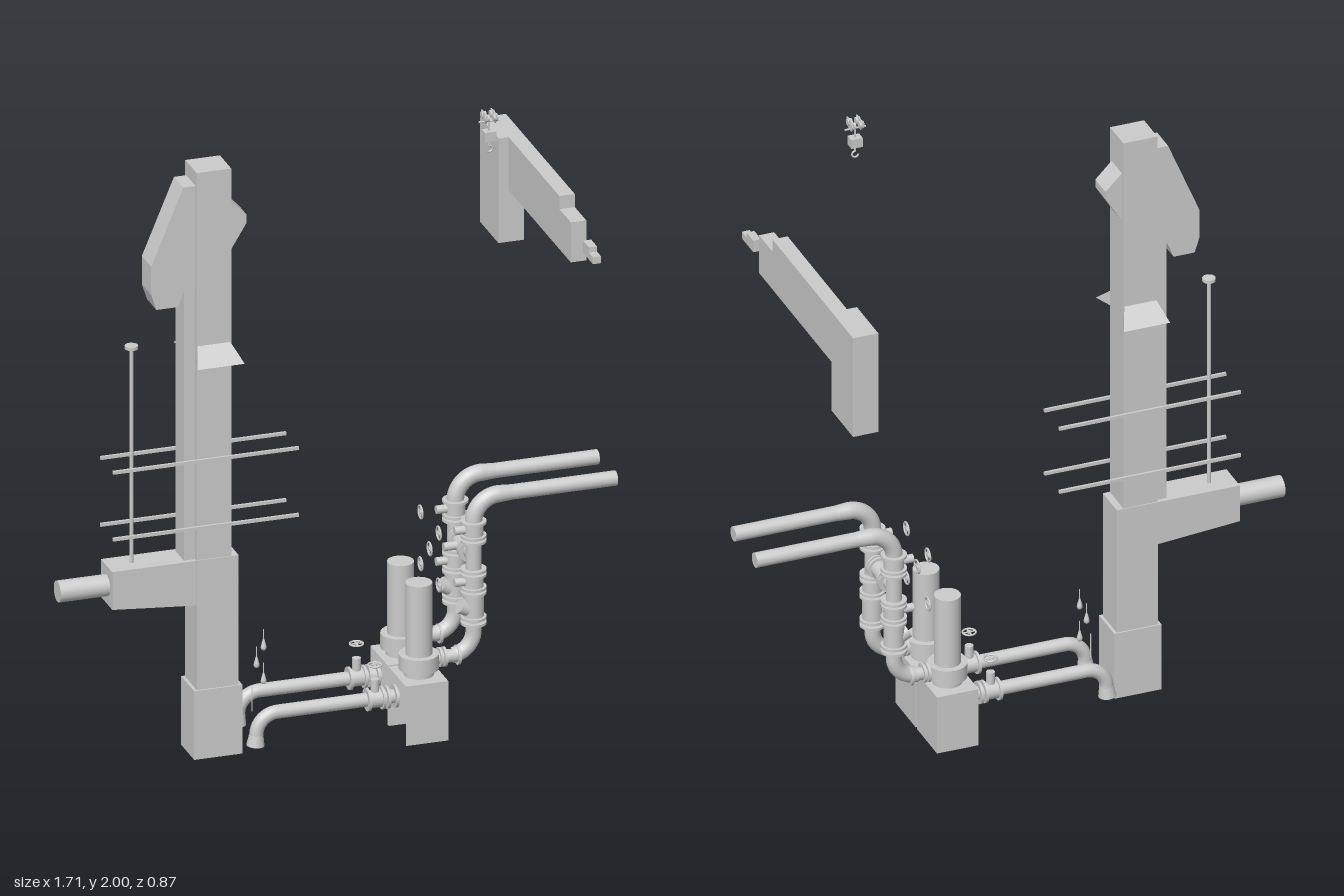
import * as THREE from 'three';

const CZ = 0.068; // symmetry plane of the tower and the two pump lines

export function createModel() {
  const root = new THREE.Group();
  const mat = new THREE.MeshStandardMaterial({ color: 0xcccccc });
  const flat = new THREE.MeshStandardMaterial({ color: 0xcccccc, flatShading: true, side: THREE.DoubleSide });

  const add = (name, geo, material = mat, parent = root) => {
    const m = new THREE.Mesh(geo, material);
    m.name = name;
    parent.add(m);
    return m;
  };
  const group = (name, parent = root) => {
    const g = new THREE.Group();
    g.name = name;
    parent.add(g);
    return g;
  };
  // Box given by its limits; open lists dropped faces (0 +x, 1 -x, 2 +y, 3 -y, 4 +z, 5 -z)
  const box = (name, [x0, x1], [y0, y1], [z0, z1], parent = root, open = []) => {
    const g = new THREE.BoxGeometry(x1 - x0, y1 - y0, z1 - z0);
    g.translate((x0 + x1) / 2, (y0 + y1) / 2, (z0 + z1) / 2);
    g.setIndex(Array.from(g.index.array).filter((_, i) => !open.includes(Math.floor(i / 6))));
    return add(name, g, flat, parent);
  };
  // Profile in x and y, extruded along z
  const slab = (name, pts, z0, z1, parent = root) => {
    const shape = new THREE.Shape(pts.map(p => new THREE.Vector2(...p)));
    const g = new THREE.ExtrudeGeometry(shape, { depth: z1 - z0, bevelEnabled: false });
    return add(name, g.translate(0, 0, z0), flat, parent);
  };
  // Profile in z and y, extruded along x
  const slabX = (name, pts, x0, x1, parent = root) => {
    const m = slab(name, pts.map(([z, y]) => [-z, y]), 0, x1 - x0, parent);
    m.geometry.rotateY(Math.PI / 2).translate(x0, 0, 0);
    return m;
  };
  // Cylinder or cone frustum between two points
  const rod = (name, a, b, r, parent = root, r2 = r) => {
    const A = new THREE.Vector3(...a), B = new THREE.Vector3(...b), d = B.clone().sub(A);
    const m = add(name, new THREE.CylinderGeometry(r2, r, d.length(), 24), mat, parent);
    m.position.copy(A).add(B).multiplyScalar(0.5);
    m.quaternion.setFromUnitVectors(new THREE.Vector3(0, 1, 0), d.normalize());
    return m;
  };
  // Quarter bend in the x-y plane
  const bend = (name, a, corner, b, r, parent) => {
    const v = p => new THREE.Vector3(...p);
    const k = 0.552, A = v(a), C = v(corner), B = v(b);
    const curve = new THREE.CubicBezierCurve3(A, A.clone().lerp(C, k), B.clone().lerp(C, k), B);
    return add(name, new THREE.TubeGeometry(curve, 14, r, 20), mat, parent);
  };
  // Thin handwheel: rim, hub and two spokes, facing along +y before turning
  const handwheel = (p, alongX, parent) => {
    const g = group('handwheel', parent);
    add('rim', new THREE.TorusGeometry(0.02, 0.003, 8, 24).rotateX(Math.PI / 2), mat, g);
    rod('spoke', [-0.02, 0, 0], [0.02, 0, 0], 0.0025, g);
    rod('spoke', [0, 0, -0.02], [0, 0, 0.02], 0.0025, g);
    rod('hub', [0, -0.003, 0], [0, 0.003, 0], 0.006, g);
    g.position.set(...p);
    if (alongX) g.rotation.z = Math.PI / 2;
  };

  // Tower
  const tower = group('tower');
  box('towerBase', [-0.45, -0.3], [0, 0.22], [CZ - 0.06, CZ + 0.06], tower, [3]);
  box('towerLower', [-0.44, -0.31], [0.22, 0.635], [CZ - 0.055, CZ + 0.055], tower);
  box('towerShaft', [-0.44, -0.332], [0.635, 1.875], [CZ - 0.052, CZ + 0.052], tower);
  box('rearDuct', [-0.475, -0.44], [0.63, 1.6], [CZ - 0.038, CZ + 0.038], tower);
  slab('dischargeHead', [[-0.44, 1.83], [-0.478, 1.83], [-0.578, 1.59], [-0.578, 1.5], [-0.562, 1.45],
    [-0.495, 1.45], [-0.475, 1.5], [-0.44, 1.5]], CZ - 0.043, CZ + 0.043, tower);
  slab('frontNose', [[-0.335, 1.77], [-0.335, 1.6], [-0.28, 1.69], [-0.28, 1.715]], CZ - 0.04, CZ + 0.04, tower);

  // Sloping skirts on both sides of the shaft
  for (const s of [-1, 1]) {
    const z0 = CZ + s * 0.052, z1 = CZ + s * 0.11, skirt = new THREE.BufferGeometry();
    skirt.setAttribute('position', new THREE.Float32BufferAttribute([
      -0.437, 1.32, z0, -0.335, 1.32, z0, -0.44, 1.27, z0, -0.332, 1.27, z0, -0.457, 1.27, z1, -0.31, 1.27, z1], 3));
    const f = [0, 4, 5, 0, 5, 1, 0, 2, 4, 1, 5, 3, 2, 3, 5, 2, 5, 4];
    skirt.setIndex(s > 0 ? f : f.reverse());
    skirt.computeVertexNormals();
    add('skirt', skirt, flat, tower);
  }

  // Inlet arm with pipe and control rod
  const arm = group('inletArm');
  slab('trough', [[-0.702, 0.633], [-0.702, 0.512], [-0.44, 0.49], [-0.44, 0.633]], CZ - 0.052, CZ + 0.052, arm);
  rod('inletPipe', [-0.855, 0.571, CZ], [-0.69, 0.571, CZ], 0.033, arm);
  rod('controlRod', [-0.625, 0.6, CZ], [-0.625, 1.32, CZ], 0.006, arm);
  rod('rodCap', [-0.625, 1.318, CZ], [-0.625, 1.328, CZ], 0.02, arm);

  // Rails on both sides of the tower
  for (const y of [0.74, 0.954]) for (const s of [-1, 1])
    box('rail', [-0.702, -0.125], [y - 0.005, y + 0.005], [CZ + s * 0.058 - 0.004, CZ + s * 0.058 + 0.004]);

  // Two matching pump lines
  for (const s of [-1, 1]) {
    const z = CZ + s * 0.0835, g = group('pumpLine');
    const flangeX = (x, y, r = 0.035) => rod('flange', [x - 0.004, y, z], [x + 0.004, y, z], r, g);
    const flangeY = (y, r = 0.039) => rod('flange', [0.41, y - 0.004, z], [0.41, y + 0.004, z], r, g);

    box('pumpStand', [0.173, 0.305], [0, 0.19], [z - 0.079, z + 0.079], g, [1, 3]);
    rod('pumpNeck', [0.24, 0.19, z], [0.24, 0.212, z], 0.045, g);
    rod('pumpCasing', [0.24, 0.21, z], [0.24, 0.257, z], 0.06, g);
    rod('pumpMotor', [0.24, 0.255, z], [0.24, 0.484, z], 0.04, g);

    // Suction side
    rod('suctionPipe', [-0.2, 0.13, z], [0.175, 0.13, z], 0.021, g);
    bend('suctionBend', [-0.2, 0.13, z], [-0.265, 0.13, z], [-0.265, 0.065, z], 0.021, g);
    rod('suctionMouth', [-0.265, 0.067, z], [-0.268, 0.032, z], 0.021, g, 0.027);
    for (const x of [0.08, 0.125, 0.14, 0.165]) flangeX(x, 0.13);
    rod('valveBody', [0.08, 0.13, z], [0.125, 0.13, z], 0.027, g);
    rod('valveStem', [0.103, 0.13, z], [0.103, 0.193, z], 0.013, g);
    handwheel([0.103, 0.238, z], false, g);

    // Riser and delivery pipe
    rod('pumpOutlet', [0.28, 0.235, z], [0.345, 0.235, z], 0.02, g);
    for (const x of [0.305, 0.318, 0.36]) flangeX(x, 0.235, 0.03);
    bend('lowerBend', [0.34, 0.236, z], [0.41, 0.236, z], [0.41, 0.306, z], 0.024, g);
    rod('riser', [0.41, 0.305, z], [0.41, 0.656, z], 0.024, g);
    bend('upperBend', [0.41, 0.655, z], [0.41, 0.733, z], [0.488, 0.733, z], 0.026, g);
    rod('reducer', [0.487, 0.733, z], [0.53, 0.733, z], 0.026, g, 0.023);
    rod('deliveryPipe', [0.53, 0.733, z], [0.852, 0.733, z], 0.023, g);
    for (const y of [0.333, 0.35, 0.43, 0.445, 0.487, 0.502, 0.595, 0.61, 0.655]) flangeY(y);
    rod('checkValve', [0.41, 0.355, z], [0.41, 0.425, z], 0.031, g);
    rod('checkValveCover', [0.41, 0.37, z], [0.367, 0.392, z], 0.024, g);
    for (const y of [0.466, 0.632]) {
      rod('riserValveBody', [0.41, y - 0.02, z], [0.41, y + 0.02, z], 0.03, g);
      rod('riserValveStem', [0.41, y, z], [0.35, y, z], 0.013, g);
      handwheel([0.302, y, z], true, g);
    }
    rod('crossFlange', [0.41, 0.548, CZ + s * 0.03], [0.41, 0.548, CZ + s * 0.038], 0.035, g);
    rod('crossFlange', [0.41, 0.548, CZ + s * 0.046], [0.41, 0.548, CZ + s * 0.052], 0.035, g);
  }

  // Cross connection between the risers
  const cross = group('crossConnection');
  rod('crossPipe', [0.41, 0.548, CZ - 0.083], [0.41, 0.548, CZ + 0.083], 0.022, cross);
  rod('crossValveBody', [0.41, 0.548, CZ - 0.03], [0.41, 0.548, CZ + 0.03], 0.027, cross);
  rod('crossValveStem', [0.41, 0.548, CZ], [0.345, 0.548, CZ], 0.013, cross);
  handwheel([0.302, 0.548, CZ], true, cross);

  // Level floats hanging in the sump
  const dropProfile = [[0, 0], [0.006, 0.002], [0.009, 0.008], [0.008, 0.015], [0.003, 0.034], [0.0015, 0.038],
    [0.0015, 0.068], [0, 0.068]].map(p => new THREE.Vector2(...p));
  for (const [x, y] of [[-0.213, 0.293], [-0.235, 0.24], [-0.213, 0.185]])
    add('levelFloat', new THREE.LatheGeometry(dropProfile, 16)).position.set(x, y, CZ - 0.003);
  rod('levelProbe', [-0.255, 0.11, CZ + 0.015], [-0.255, 0.19, CZ + 0.015], 0.002);

  // High duct with a drop leg, and the separate block in front of it
  const duct = group('highDuct');
  slabX('ductRun', [[0.3, 1.51], [0.3, 1.638], [0.195, 1.638], [0.195, 1.68], [-0.268, 1.68], [-0.268, 1.51]],
    0.662, 0.71, duct);
  box('ductLeg', [0.63, 0.71], [1.345, 1.68], [-0.435, -0.268], duct);
  slabX('ductBlock', [[0.435, 1.556], [0.435, 1.578], [0.398, 1.578], [0.398, 1.595], [0.345, 1.595], [0.345, 1.556]],
    0.685, 0.71, duct);

  // Hoist with trolley, block and hook
  const hoist = group('hoist');
  hoist.position.set(0.428, 0, 0.242);
  for (const s of [-1, 1]) {
    slabX('trolleyPlate', [[-0.027, 2], [-0.027, 1.985], [-0.01, 1.968], [0.01, 1.968], [0.027, 1.985], [0.027, 2]],
      s * 0.015 - 0.002, s * 0.015 + 0.002, hoist);
    for (const dz of [-0.014, 0.014])
      rod('trolleyWheel', [s * 0.006, 1.988, dz], [s * 0.02, 1.988, dz], 0.011, hoist);
  }
  rod('trolleyAxle', [-0.033, 1.972, 0], [0.033, 1.972, 0], 0.003, hoist);
  rod('hoistRod', [0, 1.935, 0], [0, 1.975, 0], 0.003, hoist);
  box('hoistBlock', [-0.018, 0.018], [1.912, 1.942], [-0.015, 0.015], hoist);
  rod('hookShank', [0, 1.893, 0], [0, 1.914, 0], 0.003, hoist);
  const hook = add('hook', new THREE.TorusGeometry(0.01, 0.003, 8, 20, Math.PI * 1.5), mat, hoist);
  hook.position.set(0, 1.884, 0);
  hook.rotation.z = Math.PI;

  return root;
}
